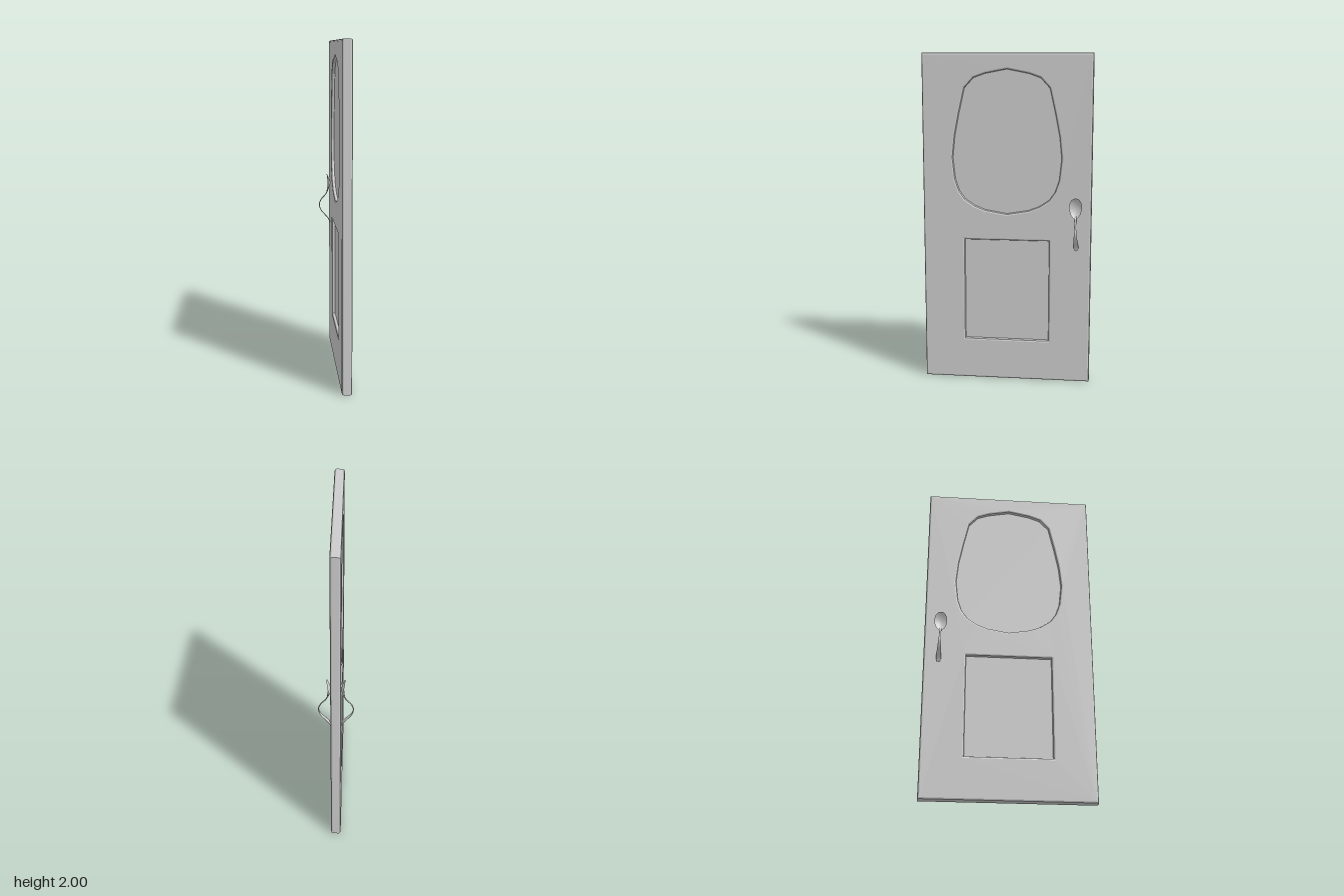
import * as THREE from 'three';

const grey = new THREE.MeshStandardMaterial({ color: 0xcccccc });
const greyDouble = new THREE.MeshStandardMaterial({ color: 0xcccccc, side: THREE.DoubleSide });

const H = 2, HALF_W = 0.51, HALF_T = 0.03, BEVEL = 0.011;
const HANDLE_Z = -0.415;

// Right half of the upper panel outline, top to bottom; mirrored for the left
const ovalHalf = [
  [0, 1.905], [0.13, 1.88], [0.2, 1.855], [0.255, 1.795], [0.29, 1.64], [0.315, 1.51],
  [0.328, 1.38], [0.314, 1.25], [0.29, 1.18], [0.255, 1.13], [0.195, 1.09], [0.13, 1.065], [0, 1.043],
];

function rectPoints(x0, x1, y0, y1) {
  return [[x0, y0], [x1, y0], [x1, y1], [x0, y1]].map(p => new THREE.Vector2(...p));
}

function named(geometry, name, material = grey) {
  const mesh = new THREE.Mesh(geometry, material);
  mesh.name = name;
  return mesh;
}

// Bevelled slab pierced by the two panel openings
function makeFrame() {
  const left = ovalHalf.slice(1, -1).reverse().map(([x, y]) => [-x, y]);
  const oval = [...ovalHalf, ...left].map(p => new THREE.Vector2(...p));
  const shape = new THREE.Shape(rectPoints(-HALF_W, HALF_W, 0, H));
  shape.holes.push(new THREE.Path(oval), new THREE.Path(rectPoints(-0.257, 0.257, 0.255, 0.88)));
  const geo = new THREE.ExtrudeGeometry(shape, {
    depth: 2 * (HALF_T - BEVEL), bevelEnabled: true, bevelThickness: BEVEL,
    bevelSize: BEVEL, bevelOffset: -BEVEL, bevelSegments: 2,
  });
  geo.translate(0, 0, -(HALF_T - BEVEL));
  geo.rotateY(Math.PI / 2);
  return named(geo, 'doorFrame');
}

// Thin recessed panel filling an opening
function makePanel(name, width, y0, y1) {
  const geo = new THREE.BoxGeometry(0.02, y1 - y0, width);
  geo.translate(0, (y0 + y1) / 2, 0);
  return named(geo, name);
}

// Shallow spoon bowl: a disc dished towards the door, with an egg outline
function makeBowl() {
  const geo = new THREE.RingGeometry(0.001, 1, 28, 7);
  const pos = geo.attributes.position;
  for (let i = 0; i < pos.count; i++) {
    const u = pos.getX(i), v = pos.getY(i);
    const r2 = u * u + v * v;
    const x = 0.031 + 0.013 * r2 + 0.009 * v * v;
    pos.setXYZ(i, x, 1.088 + 0.062 * v, HANDLE_Z - 0.038 * u * (1 + 0.12 * v));
  }
  geo.computeVertexNormals();
  return named(geo, 'spoonBowl', greyDouble);
}

// Curved spoon stem: an elliptical section swept down a bowed path, widening at the end
function makeStem() {
  const path = new THREE.CatmullRomCurve3([
    [0.046, 1.04], [0.058, 1.015], [0.088, 0.98], [0.1, 0.945],
    [0.088, 0.908], [0.06, 0.875], [0.04, 0.85], [0.032, 0.83],
  ].map(([x, y]) => new THREE.Vector3(x, y, HANDLE_Z - (1.04 - y) * 0.03)));
  const steps = 32, sides = 10, verts = [], index = [];
  for (let i = 0; i <= steps; i++) {
    const t = i / steps;
    const p = path.getPointAt(t), tan = path.getTangentAt(t);
    const swell = THREE.MathUtils.smoothstep(t, 0.25, 0.9);
    const tip = t > 0.95 ? 0.65 : 1;
    const w = (0.006 + 0.009 * swell) * tip;
    for (let j = 0; j < sides; j++) {
      const a = (j / sides) * Math.PI * 2;
      const d = 0.0028 * Math.cos(a);
      verts.push(p.x - tan.y * d, p.y + tan.x * d, p.z + w * Math.sin(a));
      if (i < steps) {
        const k = i * sides + j, n = i * sides + (j + 1) % sides;
        index.push(k, k + sides, n, n, k + sides, n + sides);
      }
    }
  }
  // End caps
  for (let j = 1; j < sides - 1; j++) {
    const e = steps * sides;
    index.push(0, j, j + 1, e, e + j + 1, e + j);
  }
  const geo = new THREE.BufferGeometry();
  geo.setAttribute('position', new THREE.Float32BufferAttribute(verts, 3));
  geo.setIndex(index);
  geo.computeVertexNormals();
  return named(geo, 'spoonStem', greyDouble);
}

function makeHandle(name, side) {
  const handle = new THREE.Group();
  handle.name = name;
  handle.add(makeBowl(), makeStem());
  handle.scale.x = side;
  return handle;
}

export function createModel() {
  const door = new THREE.Group();
  door.name = 'door';
  door.add(
    makeFrame(),
    makePanel('upperPanel', 0.68, 1.03, 1.92),
    makePanel('lowerPanel', 0.53, 0.245, 0.89),
    makeHandle('leftHandle', 1),
    makeHandle('rightHandle', -1),
  );
  return door;
}
